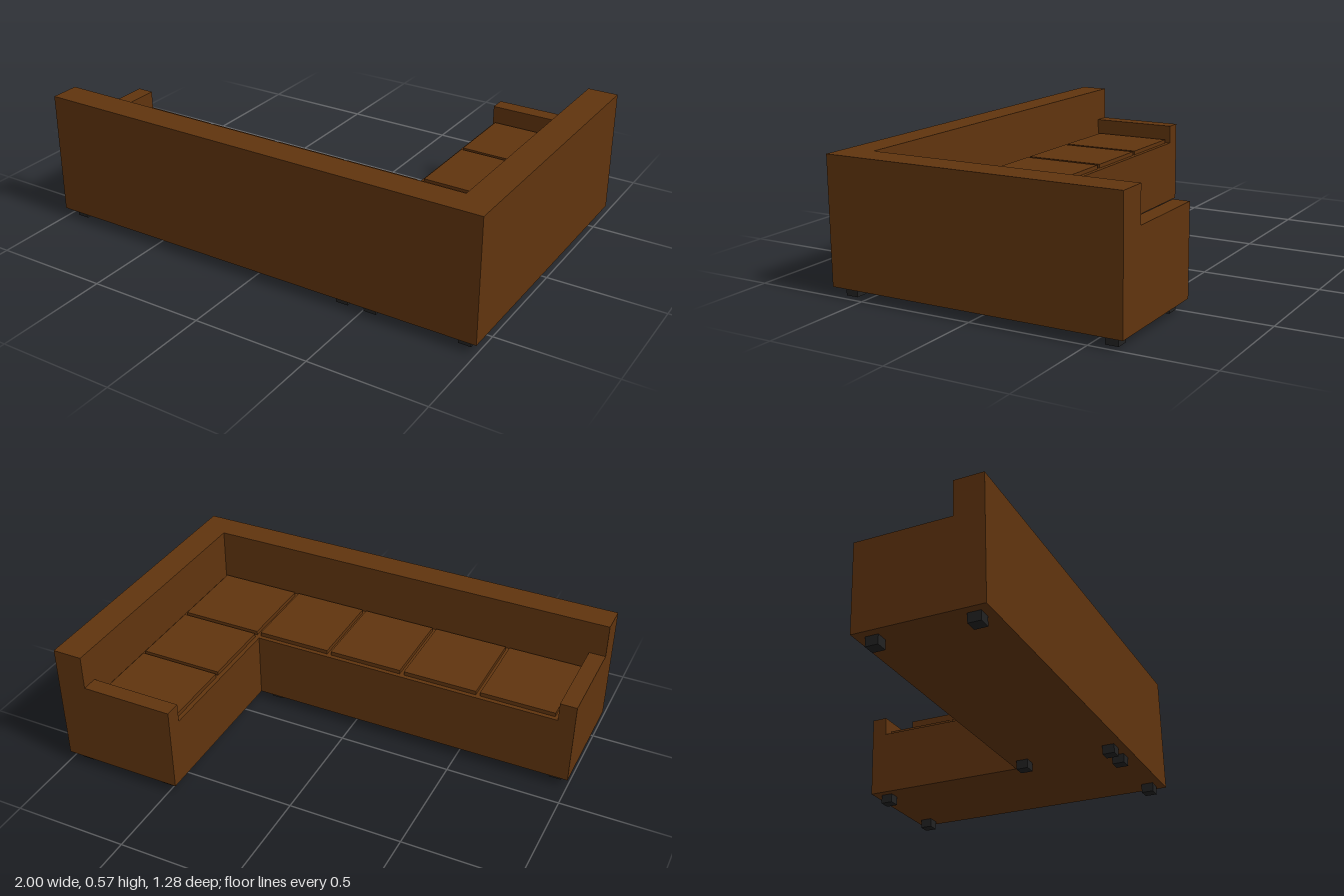
import * as THREE from 'three';

export function createModel() {
  const sofa = new THREE.Group();
  sofa.name = 'cornerSofa';

  const leather = new THREE.MeshStandardMaterial({ color: 0x60340e });
  leather.name = 'brown leather';
  const black = new THREE.MeshStandardMaterial({ color: 0x222222 });
  black.name = 'black feet';

  const add = (name, geometry, material) => {
    const mesh = new THREE.Mesh(geometry, material);
    mesh.name = name;
    sofa.add(mesh);
  };

  // Box given by its extents on each axis
  const box = (name, [x0, x1], [y0, y1], [z0, z1], material = leather) => {
    const g = new THREE.BoxGeometry(x1 - x0, y1 - y0, z1 - z0);
    g.translate((x0 + x1) / 2, (y0 + y1) / 2, (z0 + z1) / 2);
    add(name, g, material);
  };

  // Floor-plan outline (x, z) raised from y0 to y1
  const plan = (name, outline, y0, y1) => {
    const shape = new THREE.Shape(outline.map(([x, z]) => new THREE.Vector2(x, z)));
    const g = new THREE.ExtrudeGeometry(shape, { depth: y1 - y0, bevelEnabled: false });
    g.rotateX(Math.PI / 2).translate(0, y1, 0);
    add(name, g, leather);
  };

  const floor = 0.04, seat = 0.335, armTop = 0.42, backTop = 0.57;
  const W = 1, D = 0.64;
  const innerX = 0.87, innerZ = 0.515;   // inner faces of the backrest
  const edgeX = 0.467, edgeZ = 0.108;    // open edges of the seat

  // L-shaped base and backrest
  plan('base', [[-W, D], [-W, edgeZ], [edgeX, edgeZ], [edgeX, -D], [W, -D], [W, D]], floor, seat);
  plan('backrest', [[-W, D], [-W, innerZ], [innerX, innerZ], [innerX, -D], [W, -D], [W, D]], seat, backTop);

  // Low arms at both ends
  box('longSideArm', [-W, -0.927], [seat, armTop], [edgeZ, innerZ]);
  box('shortSideArm', [edgeX, innerX], [seat, armTop], [-D, -0.57]);

  // Thin seat cushions
  const cushionY = [seat, 0.353];
  const longRow = [[-0.91, -0.58], [-0.562, -0.232], [-0.213, 0.117], [0.135, 0.467], [0.486, 0.853]];
  for (const x of longRow) box('seatCushion', x, cushionY, [0.127, 0.496]);
  for (const z of [[-0.552, -0.238], [-0.222, 0.108]]) box('seatCushion', [0.486, 0.853], cushionY, z);

  // Square feet
  const feet = [
    [-0.936, 0.577], [0.404, 0.577], [0.53, 0.577], [0.936, 0.577],
    [-0.936, 0.175], [0.404, 0.175], [0.53, -0.577], [0.936, -0.577],
  ];
  const r = 0.027;
  for (const [x, z] of feet) box('foot', [x - r, x + r], [0, floor], [z - r, z + r], black);

  return sofa;
}
